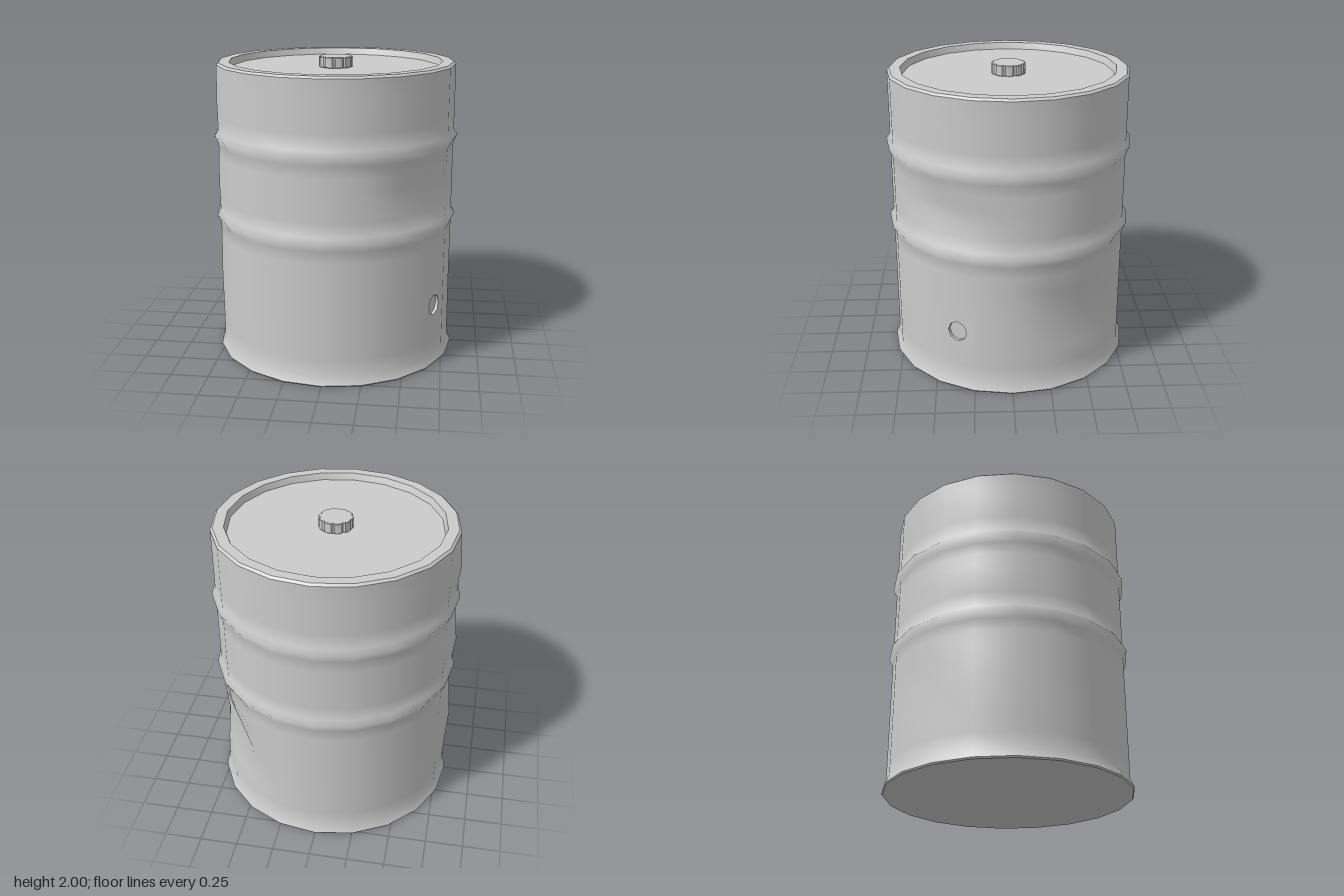
import * as THREE from 'three';
import { toCreasedNormals } from 'three/addons/utils/BufferGeometryUtils.js';

const SIDES = 20;
const STEP = (Math.PI * 2) / SIDES;
const material = new THREE.MeshStandardMaterial({ color: 0xcccccc });

// Height and radius of each ring of the wall, with two rolled hoops and a flared foot
const RINGS = [
  [0.01, 0.815], [0.065, 0.79], [0.17, 0.79], [0.28, 0.79], [0.54, 0.79], [0.7, 0.79], [0.82, 0.79],
  [0.9, 0.79], [0.953, 0.815], [0.988, 0.79], [1.08, 0.79], [1.17, 0.79], [1.27, 0.79], [1.36, 0.79],
  [1.44, 0.79], [1.495, 0.815], [1.53, 0.79], [1.63, 0.79], [1.73, 0.79], [1.85, 0.79], [1.96, 0.79],
];

// Dents and bulges: angle from +x towards +z, height, depth, angular spread, vertical spread
const DENTS = [
  [-34, 0.52, -0.075, 17, 0.2],
  [32, 1.2, -0.055, 17, 0.13],
  [-153, 0.58, -0.025, 14, 0.14],
  [180, 0.5, 0.025, 14, 0.2],
  [180, 1.18, 0.025, 14, 0.13],
  [180, 1.73, 0.018, 14, 0.1],
];

function dent(angle, y) {
  let sum = 0;
  for (const [a, h, depth, spread, tall] of DENTS) {
    const d = THREE.MathUtils.euclideanModulo(THREE.MathUtils.radToDeg(angle) - a + 180, 360) - 180;
    sum += depth * Math.exp(-((d / spread) ** 2) - ((y - h) / tall) ** 2);
  }
  return sum;
}

function wallPoint(col, row) {
  const [y, r] = RINGS[row];
  const a = (col % SIDES) * STEP;
  // hoops, foot and top edge stay nearly round
  const stiff = r > 0.8 || row === RINGS.length - 1 ? 0 : 1;
  const radius = r + stiff * dent(a, y);
  return new THREE.Vector3(Math.cos(a) * radius, y, Math.sin(a) * radius);
}

function createWall() {
  const pos = [];
  const tri = (...pts) => pts.forEach((p) => pos.push(p.x, p.y, p.z));
  const quad = (a, b, c, d) => { tri(a, b, c); tri(a, c, d); };
  const HOLE_COL = 1, HOLE_ROW = 3;

  for (let j = 0; j < RINGS.length - 1; j++) {
    for (let i = 0; i < SIDES; i++) {
      const c = [wallPoint(i, j), wallPoint(i, j + 1), wallPoint(i + 1, j + 1), wallPoint(i + 1, j)];
      if (i !== HOLE_COL || j !== HOLE_ROW) {
        quad(...c);
        continue;
      }
      // Panel with the eight-sided drain recess
      const outer = [];
      c.forEach((p, k) => outer.push(p, p.clone().lerp(c[(k + 1) % 4], 0.5)));
      const centre = outer[1].clone().lerp(outer[5], 0.5);
      const u = outer[1].clone().sub(outer[5]).normalize();
      const v = outer[3].clone().sub(outer[7]).normalize();
      const inward = u.clone().cross(v).normalize().multiplyScalar(-0.02);
      const rim = outer.map((_, k) => {
        const t = ((k - 1) * Math.PI) / 4;
        return centre.clone().addScaledVector(u, Math.cos(t) * 0.066).addScaledVector(v, Math.sin(t) * 0.07);
      });
      const floor = rim.map((p) => p.clone().add(inward));
      const floorCentre = centre.clone().add(inward);
      for (let k = 0; k < 8; k++) {
        const n = (k + 1) % 8;
        quad(outer[k], outer[n], rim[n], rim[k]);
        quad(rim[k], rim[n], floor[n], floor[k]);
        tri(floor[k], floor[n], floorCentre);
      }
    }
  }
  const g = new THREE.BufferGeometry();
  g.setAttribute('position', new THREE.Float32BufferAttribute(pos, 3));
  return toCreasedNormals(g, 1.2);
}

function lathe(points) {
  const g = new THREE.LatheGeometry(points.map(([r, y]) => new THREE.Vector2(r, y)), SIDES);
  return toCreasedNormals(g, 0.4);
}

function createCap() {
  // Scalloped grip outline: ten lobes with narrow notches
  const pts = [];
  const lobes = 10;
  for (let i = 0; i < lobes; i++) {
    for (const [t, r] of [[-0.32, 0.106], [0, 0.108], [0.32, 0.106], [0.5, 0.096]]) {
      const a = ((i + t) / lobes) * Math.PI * 2;
      pts.push(new THREE.Vector2(Math.cos(a) * r, Math.sin(a) * r));
    }
  }
  const g = new THREE.ExtrudeGeometry(new THREE.Shape(pts), {
    depth: 0.062, bevelEnabled: true, bevelThickness: 0.004, bevelSize: 0.004, bevelSegments: 1,
  });
  g.rotateX(-Math.PI / 2);
  g.translate(0, 1.934, 0);
  return toCreasedNormals(g, 0.4);
}

export function createModel() {
  const group = new THREE.Group();
  group.name = 'barrel';
  const add = (name, geometry) => {
    const mesh = new THREE.Mesh(geometry, material);
    mesh.name = name;
    group.add(mesh);
  };
  add('wall', createWall());
  // Chamfered rim and recessed lid
  add('lid', lathe([[0.79, 1.96], [0.775, 1.974], [0.705, 1.974], [0.69, 1.93], [0, 1.93]]));
  add('base', lathe([[0, 0], [0.808, 0], [0.815, 0.01]]));
  add('cap', createCap());
  return group;
}
